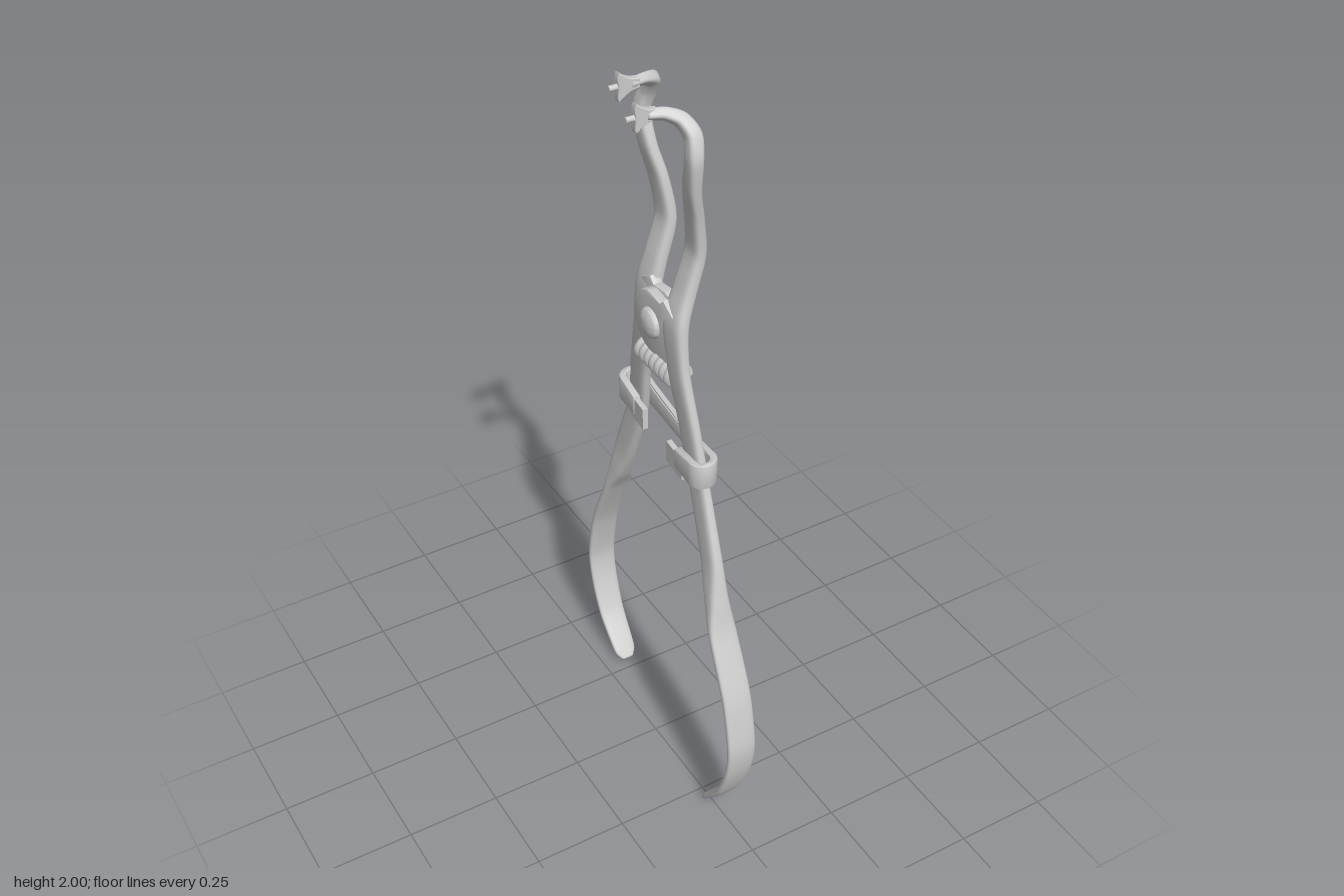
import * as THREE from 'three';
import { toCreasedNormals } from 'three/addons/utils/BufferGeometryUtils.js';

const material = new THREE.MeshStandardMaterial({ color: 0xcccccc, side: THREE.DoubleSide });

function add(parent, name, geometry, creased = true) {
  const mesh = new THREE.Mesh(creased ? toCreasedNormals(geometry, 0.7) : geometry, material);
  mesh.name = name;
  parent.add(mesh);
  return mesh;
}

// Sweep a rounded-rectangle section along centres; sizes hold [half in-plane width, half side thickness].
function loft(centres, sizes, power, steps) {
  const path = new THREE.CatmullRomCurve3(centres, false, 'catmullrom', 0.4);
  const size = new THREE.CatmullRomCurve3(sizes.map(([a, b]) => new THREE.Vector3(a, b, 0)), false, 'catmullrom', 0.3);
  const sides = 24, pos = [], index = [];
  const v = new THREE.Vector3(1, 0, 0), u = new THREE.Vector3();
  const bend = (k) => Math.sign(k) * Math.abs(k) ** (2 / power);
  for (let i = 0; i <= steps; i++) {
    const c = path.getPoint(i / steps), t = path.getTangent(i / steps), s = size.getPoint(i / steps);
    v.addScaledVector(t, -v.dot(t)).normalize();
    u.crossVectors(t, v);
    for (let j = 0; j < sides; j++) {
      const a = (j / sides) * Math.PI * 2;
      const p = c.clone().addScaledVector(v, s.y * bend(Math.cos(a))).addScaledVector(u, s.x * bend(Math.sin(a)));
      pos.push(p.x, p.y, p.z);
      const k = i * sides + j, n = i * sides + (j + 1) % sides;
      if (i < steps) index.push(k, n, k + sides, n, n + sides, k + sides);
    }
  }
  const first = pos.length / 3, last = steps * sides;
  pos.push(...path.getPoint(0).toArray(), ...path.getPoint(1).toArray());
  for (let j = 0; j < sides; j++) {
    const n = (j + 1) % sides;
    index.push(first, n, j, first + 1, last + j, last + n);
  }
  const g = new THREE.BufferGeometry();
  g.setAttribute('position', new THREE.Float32BufferAttribute(pos, 3));
  g.setIndex(index);
  g.computeVertexNormals();
  return g;
}

// y, z, x of the front arm, x of the back arm, half in-plane width, half side thickness
const stations = [
  [0.005, 0.282, 0.002, 0.07, 0.008, 0.018],
  [0.03, 0.302, 0.002, 0.07, 0.009, 0.032],
  [0.12, 0.372, 0.002, 0.07, 0.01, 0.037],
  [0.22, 0.412, 0.002, 0.07, 0.01, 0.039],
  [0.32, 0.424, 0.002, 0.069, 0.01, 0.04],
  [0.47, 0.393, 0.002, 0.067, 0.011, 0.04],
  [0.63, 0.325, 0.001, 0.065, 0.013, 0.038],
  [0.72, 0.287, 0.004, 0.06, 0.027, 0.027],
  [0.82, 0.25, 0.01, 0.058, 0.036, 0.018],
  [1.0, 0.182, 0.015, 0.056, 0.037, 0.015],
  [1.15, 0.145, 0.008, 0.042, 0.037, 0.015],
  [1.3, 0.108, -0.002, 0.028, 0.038, 0.016],
  [1.42, 0.09, 0.0, 0.028, 0.041, 0.019],
  [1.5, 0.085, 0.025, 0.045, 0.036, 0.018],
  [1.6, 0.086, 0.052, 0.072, 0.034, 0.017],
  [1.7, 0.098, 0.04, 0.06, 0.032, 0.016],
  [1.78, 0.116, 0.022, 0.042, 0.028, 0.016],
  [1.86, 0.133, 0.016, 0.036, 0.022, 0.018],
  [1.91, 0.12, 0.02, 0.046, 0.02, 0.019],
  [1.94, 0.095, 0.006, 0.042, 0.017, 0.017],
  [1.955, 0.078, -0.025, 0.01, 0.013, 0.014],
  [1.958, 0.068, -0.062, -0.03, 0.011, 0.012],
];

function makeArm(side) {
  const arm = new THREE.Group();
  arm.name = side > 0 ? 'frontArm' : 'backArm';
  // The back jaw sits slightly higher and closer in
  const centres = stations.map(([y, z, xa, xb]) => side > 0
    ? new THREE.Vector3(xa, y, z)
    : new THREE.Vector3(xb, y > 1.93 ? y + 0.008 : y, (y > 1.2 ? 0.007 : 0) - z));
  add(arm, 'handleAndJaw', loft(centres, stations.map((s) => [s[4], s[5]]), 3.2, 126), false);

  // Lap plate of the hinge: a disc blended into the arm
  const plate = new THREE.Shape();
  plate.moveTo(0.1, -0.07);
  plate.lineTo(0.02, -0.075);
  plate.absarc(0, 0, 0.078, -1.3, -Math.PI * 1.45, true);
  plate.lineTo(0.04, 0.07);
  plate.lineTo(0.055, 0.085);
  plate.lineTo(0.09, 0.065);
  plate.closePath();
  const geo = new THREE.ExtrudeGeometry(plate, {
    depth: 0.018, bevelEnabled: true, bevelSize: 0.004, bevelThickness: 0.004, bevelSegments: 2, curveSegments: 32,
  });
  geo.translate(0, 0, -0.009);
  geo.rotateY(side > 0 ? -Math.PI / 2 : Math.PI / 2);
  geo.translate(side > 0 ? -0.004 : 0.025, 1.38, 0.005);
  add(arm, 'hingePlate', geo);

  // Flared tip with a small pin
  const end = centres[centres.length - 1];
  const tail = new THREE.Shape([
    [0.02, 0.01], [0, 0.013], [-0.016, 0.021], [-0.03, 0.032], [-0.032, 0.024], [-0.03, 0.008],
    [-0.03, -0.008], [-0.032, -0.024], [-0.03, -0.032], [-0.016, -0.021], [0, -0.013], [0.02, -0.01],
  ].map(([x, y]) => new THREE.Vector2(x, y)));
  const tip = add(arm, 'flaredTip', new THREE.ExtrudeGeometry(tail, {
    depth: 0.014, bevelEnabled: true, bevelSize: 0.002, bevelThickness: 0.002, bevelSegments: 1,
  }).translate(0, 0, -0.007));
  tip.position.copy(end);
  const pin = add(arm, 'tipPin', new THREE.CylinderGeometry(0.007, 0.007, 0.04, 14));
  pin.rotation.z = Math.PI / 2;
  pin.position.set(end.x - 0.033, end.y, end.z);
  return arm;
}

function makeRivet() {
  const profile = [[0, -0.036], [0.022, -0.034], [0.036, -0.027], [0.04, -0.018], [0.04, 0.036],
    [0.036, 0.045], [0.022, 0.05], [0, 0.052]].map(([r, h]) => new THREE.Vector2(r, h));
  return new THREE.LatheGeometry(profile, 32).rotateZ(-Math.PI / 2).translate(0, 1.38, 0.005);
}

function makeSpring() {
  const turns = 7, points = [];
  for (let i = 0; i <= turns * 16; i++) {
    const a = (i / 16) * Math.PI * 2;
    points.push(new THREE.Vector3(0.014 + 0.027 * Math.cos(a), 1.262 + 0.027 * Math.sin(a),
      0.085 - 0.16 * i / (turns * 16)));
  }
  return new THREE.TubeGeometry(new THREE.CatmullRomCurve3(points), turns * 24, 0.01, 8);
}

// Flat strip hooked round both arms, its long run on the left side
function makeCatch() {
  const reach = 0.195;
  const side = (gap) => {
    const list = [];
    for (let i = 0; i <= 10; i++) {
      const a = Math.PI * i / 10;
      list.push([reach + gap * Math.sin(a), -gap * Math.cos(a)]);
    }
    for (let i = 1; i < 16; i++) list.push([reach * (1 - i / 8), gap]);
    for (let i = 0; i <= 10; i++) {
      const a = Math.PI * i / 10;
      list.push([-reach - gap * Math.sin(a), gap * Math.cos(a)]);
    }
    return list;
  };
  const path = [[0.12, -0.035], ...side(0.035), [-0.12, -0.035], [-0.12, -0.022], ...side(0.022).reverse(), [0.12, -0.022]];
  const outline = new THREE.Shape(path.map(([z, x]) => new THREE.Vector2(0.031 - 0.095 * z + x, -z)));
  const geo = new THREE.ExtrudeGeometry(outline, {
    depth: 0.052, bevelEnabled: true, bevelSize: 0.003, bevelThickness: 0.004, bevelSegments: 2,
  });
  geo.rotateX(-Math.PI / 2);
  // Ends sit taller and higher than the sagging middle
  const p = geo.attributes.position;
  for (let i = 0; i < p.count; i++) {
    const k = Math.min(1, Math.abs(p.getZ(i)) / 0.2) ** 2;
    p.setY(i, 1.032 + p.getY(i) * (0.75 + 0.38 * k) - 0.004 * k + 0.025 * p.getZ(i));
  }
  geo.computeVertexNormals();
  return geo;
}

export function createModel() {
  const model = new THREE.Group();
  model.name = 'forceps';
  model.add(makeArm(1), makeArm(-1));
  add(model, 'hingeRivet', makeRivet());
  add(model, 'coilSpring', makeSpring(), false);
  add(model, 'lockingCatch', makeCatch());
  // Low stop tabs at the catch's open ends
  for (const side of [1, -1]) {
    const tab = add(model, 'catchTab', new THREE.BoxGeometry(0.014, 0.06, 0.085));
    tab.position.set(0.003 - 0.0105 * side, 1.04, 0.11 * side);
    tab.rotation.y = -0.095;
  }
  return model;
}
